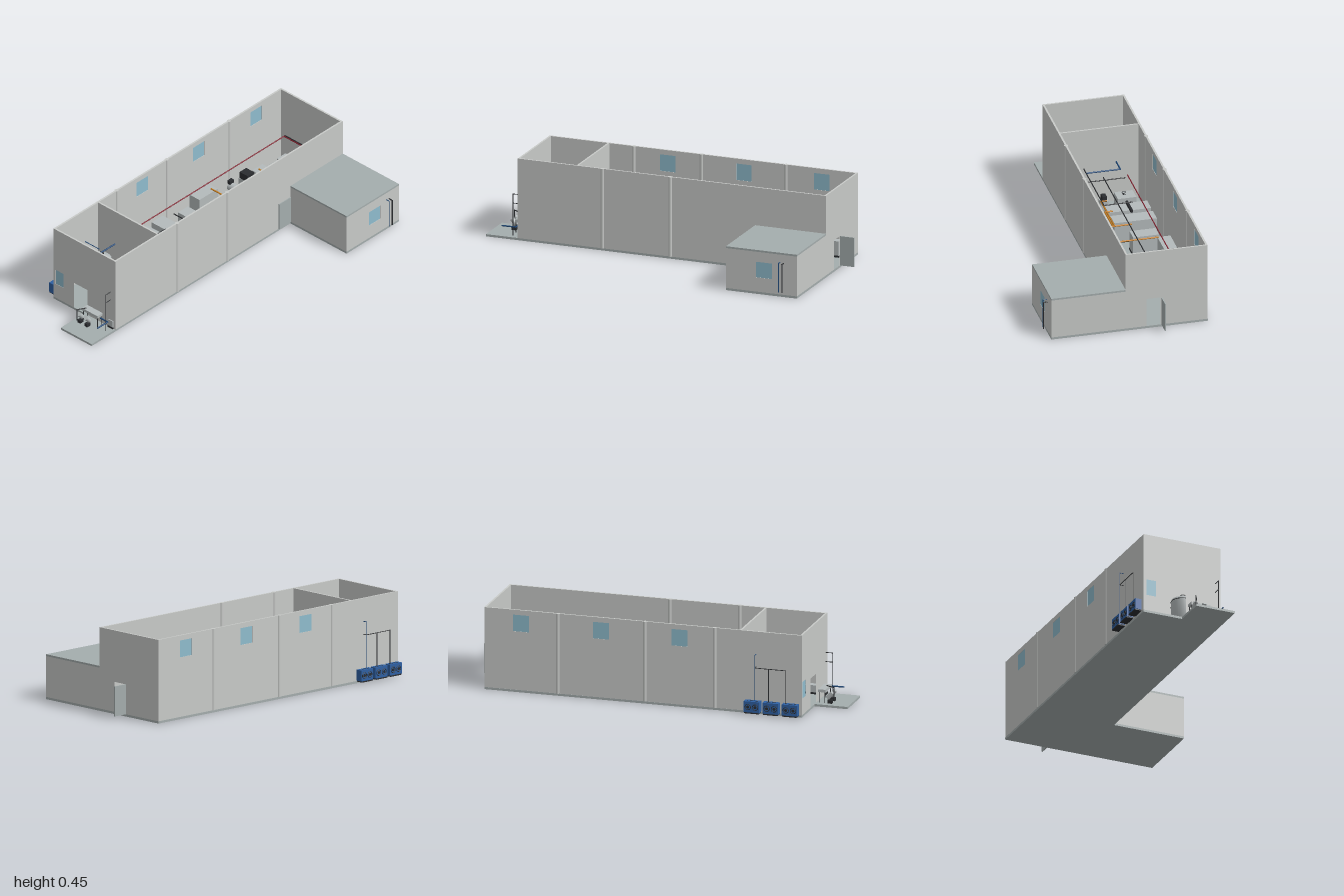
import * as THREE from 'three';

const mat = (name, color, side = THREE.FrontSide) => {
  const m = new THREE.MeshStandardMaterial({ color, side });
  m.name = name;
  return m;
};

export function createModel() {
  const root = new THREE.Group();
  root.name = 'plantBuilding';
  const M = {
    wall: mat('wallGrey', 0xc8cac8),
    floor: mat('slabGrey', 0xa4adad),
    glass: mat('windowGlass', 0x8fbccd, THREE.DoubleSide),
    blue: mat('unitBlue', 0x2f60a2),
    dark: mat('darkMetal', 0x2b2d30),
    light: mat('equipmentGrey', 0xb4babb),
    orange: mat('orangePipe', 0xc97d1c),
    red: mat('redPipe', 0x84202e),
    navy: mat('bluePipe', 0x1f4878),
  };

  const add = (name, geo, m, x = 0, y = 0, z = 0, parent = root) => {
    const mesh = new THREE.Mesh(geo, m);
    mesh.name = name;
    mesh.position.set(x, y, z);
    parent.add(mesh);
    return mesh;
  };
  // box given by its min and max corners
  const box = (name, m, x0, x1, y0, y1, z0, z1, parent) =>
    add(name, new THREE.BoxGeometry(x1 - x0, y1 - y0, z1 - z0), m,
      (x0 + x1) / 2, (y0 + y1) / 2, (z0 + z1) / 2, parent);
  const cyl = (name, m, r, h, x, y, z, seg = 24, parent) =>
    add(name, new THREE.CylinderGeometry(r, r, h, seg), m, x, y, z, parent);
  // square-cornered pipe run through a list of points
  const pipe = (name, m, r, pts) => {
    const g = new THREE.Group();
    g.name = name;
    root.add(g);
    for (let i = 1; i < pts.length; i++) {
      const a = new THREE.Vector3(...pts[i - 1]), b = new THREE.Vector3(...pts[i]);
      const mid = a.clone().add(b).multiplyScalar(0.5);
      const s = cyl(name + 'Run', m, r, a.distanceTo(b) + r, mid.x, mid.y, mid.z, 8, g);
      s.quaternion.setFromUnitVectors(new THREE.Vector3(0, 1, 0), b.sub(a).normalize());
    }
  };
  // wall with openings [u0, u1, v0, v1]; along x at z = at, or along z at x = at
  const T = 0.01, F = 0.012, H = 0.447;
  const wall = (name, axis, at, u0, u1, top, holes = []) => {
    const rect = (P, a, b, c, d) => {
      const p = new P();
      p.moveTo(a, c); p.lineTo(b, c); p.lineTo(b, d); p.lineTo(a, d); p.closePath();
      return p;
    };
    const s = axis === 'x' ? 1 : -1; // a quarter turn maps u to -z
    const shape = rect(THREE.Shape, s * u0, s * u1, F, top);
    holes.forEach(([a, b, c, d]) => shape.holes.push(rect(THREE.Path, s * a, s * b, c, d)));
    const g = new THREE.ExtrudeGeometry(shape, { depth: T, bevelEnabled: false });
    g.translate(0, 0, -T / 2);
    if (axis === 'z') g.rotateY(Math.PI / 2);
    add(name, g, M.wall, axis === 'z' ? at : 0, 0, axis === 'x' ? at : 0);
    // glazing in every opening that does not reach the floor
    holes.filter((h) => h[2] > 0.05).forEach(([a, b, c, d]) => {
      if (axis === 'x') box('windowPane', M.glass, a, b, c, d, at - 0.003, at + 0.003);
      else box('windowPane', M.glass, at - 0.003, at + 0.003, c, d, a, b);
    });
  };

  // floor slabs
  box('mainSlab', M.floor, -0.82, 0.92, 0, F, -0.412, 0.03);
  box('annexSlab', M.floor, 0.52, 0.92, 0, F, 0.03, 0.432);
  box('outdoorPad', M.floor, -1, -0.82, 0, F, -0.19, 0.03);

  // main walls
  const high = [-0.15, 0.28, 0.72].map((x) => [x - 0.044, x + 0.044, 0.33, 0.42]);
  wall('backWall', 'x', -0.406, -0.82, 0.92, H, high);
  wall('frontWall', 'x', 0.026, -0.82, 0.92, H, [[0.525, 0.61, 0.0125, 0.17]]);
  wall('rightEndWall', 'z', 0.915, -0.401, 0.021, H, [[-0.157, -0.08, 0.0125, 0.172]]);
  wall('leftEndWall', 'z', -0.815, -0.401, 0.021, H,
    [[-0.263, -0.168, 0.0125, 0.17], [-0.395, -0.34, 0.1, 0.19]]);
  wall('partition', 'z', -0.485, -0.401, 0.021, H);

  // columns standing slightly proud of the long walls
  [-0.343, 0.04].forEach((x) => cyl('frontColumn', M.wall, 0.011, H - F, x, (H + F) / 2, 0.026, 12));
  [-0.343, 0.04, 0.517].forEach((x) => cyl('backColumn', M.wall, 0.011, H - F, x, (H + F) / 2, -0.406, 12));

  // annex
  wall('annexFront', 'x', 0.427, 0.52, 0.92, 0.23, [[0.69, 0.78, 0.09, 0.175]]);
  wall('annexLeft', 'z', 0.915, 0.031, 0.422, 0.23);
  wall('annexRight', 'z', 0.525, 0.031, 0.422, 0.23);
  box('annexRoof', M.floor, 0.52, 0.92, 0.23, 0.24, 0.031, 0.432);
  box('annexDoorLeaf', M.floor, 0.43, 0.519, F, 0.17, 0.031, 0.036);
  box('sideDoorLeaf', M.floor, 0.92, 1, F, 0.172, -0.167, -0.161);
  pipe('annexVent', M.dark, 0.003, [[0.845, 0.03, 0.455], [0.845, 0.184, 0.455], [0.845, 0.184, 0.43]]);
  pipe('annexDrain', M.navy, 0.002, [[0.825, 0.03, 0.453], [0.825, 0.188, 0.453], [0.825, 0.188, 0.43]]);

  // outdoor fan units with their pipes
  [-0.765, -0.661, -0.557].forEach((x) => {
    const g = new THREE.Group();
    g.name = 'fanUnit';
    root.add(g);
    box('unitCase', M.blue, x - 0.043, x + 0.043, 0.016, 0.075, -0.453, -0.418, g);
    box('unitFoot', M.dark, x - 0.04, x + 0.04, 0.01, 0.016, -0.455, -0.416, g);
    [-0.02, 0.02].forEach((dx) => {
      add('fanRing', new THREE.TorusGeometry(0.015, 0.002, 6, 24), M.dark, x + dx, 0.045, -0.453, g);
      const hub = cyl('fanHub', M.dark, 0.008, 0.004, x + dx, 0.045, -0.453, 16, g);
      hub.rotation.x = Math.PI / 2;
    });
    box('unitLid', M.dark, x - 0.03, x + 0.03, 0.075, 0.076, -0.437, -0.434, g);
  });
  pipe('unitRiser', M.navy, 0.002, [[-0.57, 0.075, -0.435], [-0.57, 0.324, -0.435], [-0.57, 0.324, -0.41]]);
  pipe('unitHeader', M.dark, 0.002, [[-0.74, 0.075, -0.435], [-0.74, 0.255, -0.435], [-0.57, 0.255, -0.435], [-0.57, 0.255, -0.41]]);
  pipe('unitDrop', M.dark, 0.002, [[-0.645, 0.075, -0.435], [-0.645, 0.255, -0.435]]);

  // equipment on the outdoor pad
  box('padBench', M.light, -0.87, -0.83, 0.07, 0.085, -0.16, -0.05);
  [-0.865, -0.835].forEach((x) => [-0.155, -0.055].forEach((z) => cyl('benchLeg', M.dark, 0.002, 0.058, x, 0.041, z, 8)));
  [-0.15, -0.1].forEach((z) => {
    const motor = cyl('padPump', M.light, 0.012, 0.04, -0.893, 0.055, z, 16);
    motor.rotation.z = 0.7;
    box('pumpFoot', M.dark, -0.905, -0.88, F, 0.03, z - 0.01, z + 0.01);
  });
  pipe('pumpLine', M.dark, 0.003, [[-0.915, 0.035, -0.155], [-0.915, 0.1, -0.155], [-0.87, 0.1, -0.13]]);
  pipe('padRiser', M.dark, 0.002, [[-0.86, F, 0], [-0.86, 0.24, 0], [-0.82, 0.24, 0]]);
  pipe('padBranch', M.dark, 0.002, [[-0.86, 0.19, 0], [-0.82, 0.19, 0]]);
  pipe('padFeed', M.navy, 0.004, [[-0.845, 0.06, -0.05], [-0.845, 0.06, 0], [-0.92, 0.06, 0]]);

  // storage tanks with domed lids
  [[-0.28, 0.072], [-0.095, 0.06]].forEach(([z, r]) => {
    const pts = [[0, 0.03], [r, 0.04], [r, 0.2], [r * 0.95, 0.212], [r * 0.5, 0.226], [0, 0.23]];
    add('tank', new THREE.LatheGeometry(pts.map((p) => new THREE.Vector2(...p)), 32), M.light, -0.615, 0, z);
    const rim = add('tankRim', new THREE.TorusGeometry(r, 0.002, 6, 32), M.dark, -0.615, 0.2, z);
    rim.rotation.x = Math.PI / 2;
    box('tankHatch', M.dark, -0.63, -0.585, 0.22, 0.24, z - 0.01, z + 0.01);
    for (let i = 0; i < 3; i++) {
      const a = i * Math.PI * 2 / 3;
      cyl('tankLeg', M.dark, 0.005, 0.04, -0.615 + r * 0.8 * Math.cos(a), 0.03, z + r * 0.8 * Math.sin(a), 8);
    }
  });

  // cabinets and machines: x, z, width, depth, height
  [[-0.18, -0.265, 0.085, 0.23, 0.13], [-0.06, -0.265, 0.085, 0.23, 0.13], [0.105, -0.28, 0.075, 0.14, 0.12],
    [0.275, -0.36, 0.14, 0.07, 0.14], [-0.37, -0.3, 0.08, 0.1, 0.1], [0.83, -0.305, 0.065, 0.04, 0.1],
    [0.83, -0.21, 0.05, 0.03, 0.08], [0.71, -0.36, 0.08, 0.05, 0.06], [-0.77, 0, 0.11, 0.035, 0.06],
    [0.58, -0.31, 0.055, 0.12, 0.08]].forEach(([x, z, w, d, h]) => {
    box('machineBase', M.dark, x - w / 2 - 0.002, x + w / 2 + 0.002, F, F + 0.01, z - d / 2 - 0.002, z + d / 2 + 0.002);
    box('machineBody', M.light, x - w / 2, x + w / 2, F + 0.01, h, z - d / 2, z + d / 2);
  });
  box('burner', M.dark, 0.555, 0.605, 0.08, 0.12, -0.365, -0.31);
  box('compressorHead', M.dark, -0.22, -0.11, 0.13, 0.145, -0.275, -0.263);
  const vessel = cyl('pressureVessel', M.light, 0.023, 0.13, 0.47, 0.08, -0.29);
  vessel.rotation.x = Math.PI / 2;
  box('vesselValve', M.dark, 0.455, 0.485, 0.1, 0.12, -0.36, -0.34);
  [-0.3, -0.19, -0.11].forEach((z) => {
    box('pumpBody', M.light, -0.42, -0.375, F, 0.07, z - 0.022, z + 0.022);
    box('pumpMotor', M.dark, -0.41, -0.37, 0.07, 0.1, z - 0.012, z + 0.012);
  });

  // service pipes
  pipe('heatMain', M.red, 0.003, [[-0.32, 0.24, -0.3], [0.825, 0.24, -0.3], [0.825, 0.24, 0.02]]);
  pipe('heatReturn', M.dark, 0.003, [[0.833, 0.24, -0.3], [0.833, 0.24, 0.02]]);
  pipe('waterMain', M.dark, 0.003, [[-0.4, 0.2, -0.19], [0.83, 0.2, -0.19]]);
  pipe('waterBranch', M.dark, 0.003, [[-0.58, 0.22, -0.105], [-0.06, 0.22, -0.105], [-0.06, 0.22, -0.26]]);
  pipe('pumpBranch', M.dark, 0.003, [[-0.37, 0.2, -0.3], [-0.37, 0.2, -0.1]]);
  pipe('tankLine', M.navy, 0.004, [[-0.6, 0.24, -0.28], [-0.395, 0.24, -0.28], [-0.395, 0.24, -0.1]]);
  pipe('tankFeed', M.navy, 0.003, [[-0.61, 0.235, -0.09], [-0.61, 0.235, 0], [-0.8, 0.235, 0]]);
  [-0.65, -0.59].forEach((x) => pipe('coolingLine', M.navy, 0.002, [[x, 0.25, -0.4], [x, 0.25, -0.3]]));
  const oy = 0.18;
  [[[-0.18, oy, -0.15], [-0.18, oy, -0.12], [0.105, oy, -0.12]],
    [[-0.06, oy, -0.15], [-0.06, oy, -0.11], [0.105, oy, -0.11]],
    [[0.105, oy, -0.21], [0.105, oy, -0.1], [0.47, oy, -0.1], [0.47, oy, -0.23]],
    [[0.28, oy, -0.31], [0.28, oy, -0.075], [0.58, oy, -0.075]],
    [[0.47, oy, -0.09], [0.58, oy, -0.09], [0.58, oy, -0.25]]]
    .forEach((p) => pipe('steamPipe', M.orange, 0.004, p));
  pipe('steamTail', M.orange, 0.0015, [[0.58, oy, -0.072], [0.82, oy, -0.072]]);

  return root;
}
